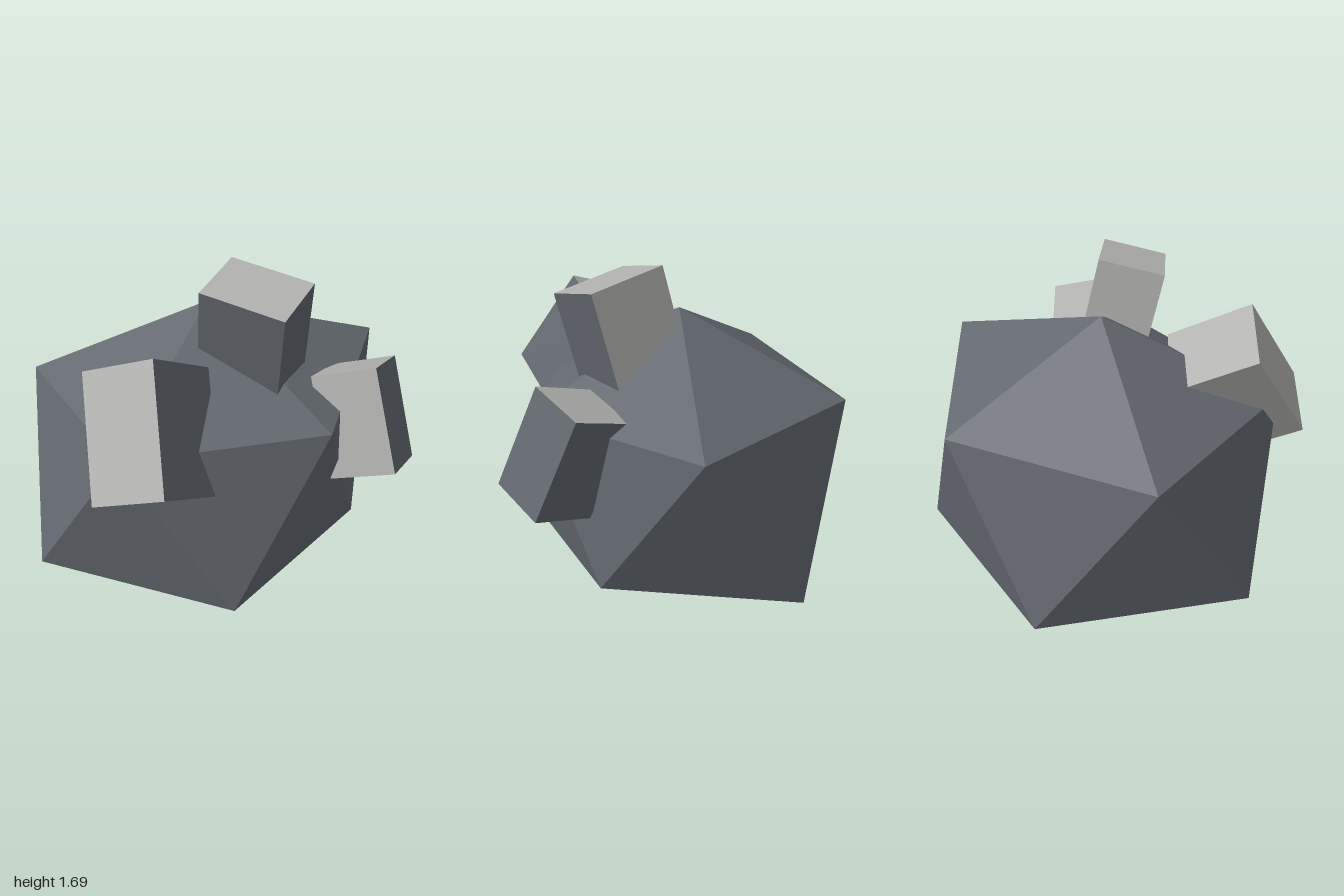
import * as THREE from 'three';

const slate = new THREE.MeshStandardMaterial({ color: 0x646970 });
slate.name = 'slateGrey';
slate.flatShading = true;
const pale = new THREE.MeshStandardMaterial({ color: 0xb0b0ae });
pale.name = 'paleGrey';
pale.flatShading = true;

// Irregular twenty-sided boulder with its lowest point sliced off flat
function boulderGeometry() {
  const apex = [-0.03, 1.45, -0.03];
  const upper = [[1, 1.09, -0.03], [0.25, 1.03, -0.84], [-0.78, 1.03, -0.55], [-0.75, 1.02, 0.5], [0.23, 1.01, 0.73]];
  const lower = [[0.75, 0.18, -0.56], [-0.32, 0.19, -0.88], [-1, 0.18, -0.03], [-0.31, 0.21, 0.79], [0.63, 0.25, 0.42]];
  const base = [[0.38, 0, -0.3], [-0.18, 0, -0.47], [-0.54, 0, -0.03], [-0.17, 0, 0.38], [0.28, 0, 0.19]];
  const points = [];
  const tri = (...corners) => points.push(...corners.flat());
  for (let i = 0; i < 5; i++) {
    const j = (i + 1) % 5;
    tri(apex, upper[i], upper[j]);
    tri(upper[i], lower[i], upper[j]);
    tri(lower[i], lower[j], upper[j]);
    tri(lower[i], base[i], base[j]);
    tri(lower[i], base[j], lower[j]);
    if (i > 0 && i < 4) tri(base[0], base[j], base[i]);
  }
  const geometry = new THREE.BufferGeometry();
  geometry.setAttribute('position', new THREE.Float32BufferAttribute(points, 3));
  geometry.computeVertexNormals();
  return geometry;
}

// Tilted block hung from the corner where its three pale faces meet
function block(name, corner, xDir, yDir, size) {
  const x = new THREE.Vector3(...xDir).normalize();
  const z = x.clone().cross(new THREE.Vector3(...yDir)).normalize();
  const y = z.clone().cross(x);
  const geometry = new THREE.BoxGeometry(...size);
  geometry.translate(-size[0] / 2, -size[1] / 2, -size[2] / 2);
  const mesh = new THREE.Mesh(geometry, [pale, slate, pale, slate, pale, slate]);
  mesh.name = name;
  mesh.quaternion.setFromRotationMatrix(new THREE.Matrix4().makeBasis(x, y, z));
  mesh.position.set(...corner);
  return mesh;
}

export function createModel() {
  const model = new THREE.Group();
  model.name = 'boulderWithBlocks';

  const boulder = new THREE.Mesh(boulderGeometry(), slate);
  boulder.name = 'boulder';
  model.add(boulder);

  // Three blocks sunk into the front and top
  model.add(
    block('topBlock', [0.06, 1.69, 0.06], [0.27, 0.07, -0.18], [-0.23, 0.065, -0.36], [0.33, 0.43, 0.6]),
    block('rightBlock', [-0.78, 1.35, 0.22], [-0.36, 0.21, 0.19], [0.1, 0.5, -0.32], [0.46, 0.6, 0.38]),
    block('leftBlock', [0.3, 1.16, 0.43], [-0.26, 0.07, 0.18], [-0.005, 0.48, -0.21], [0.32, 0.52, 0.33]),
  );
  return model;
}
